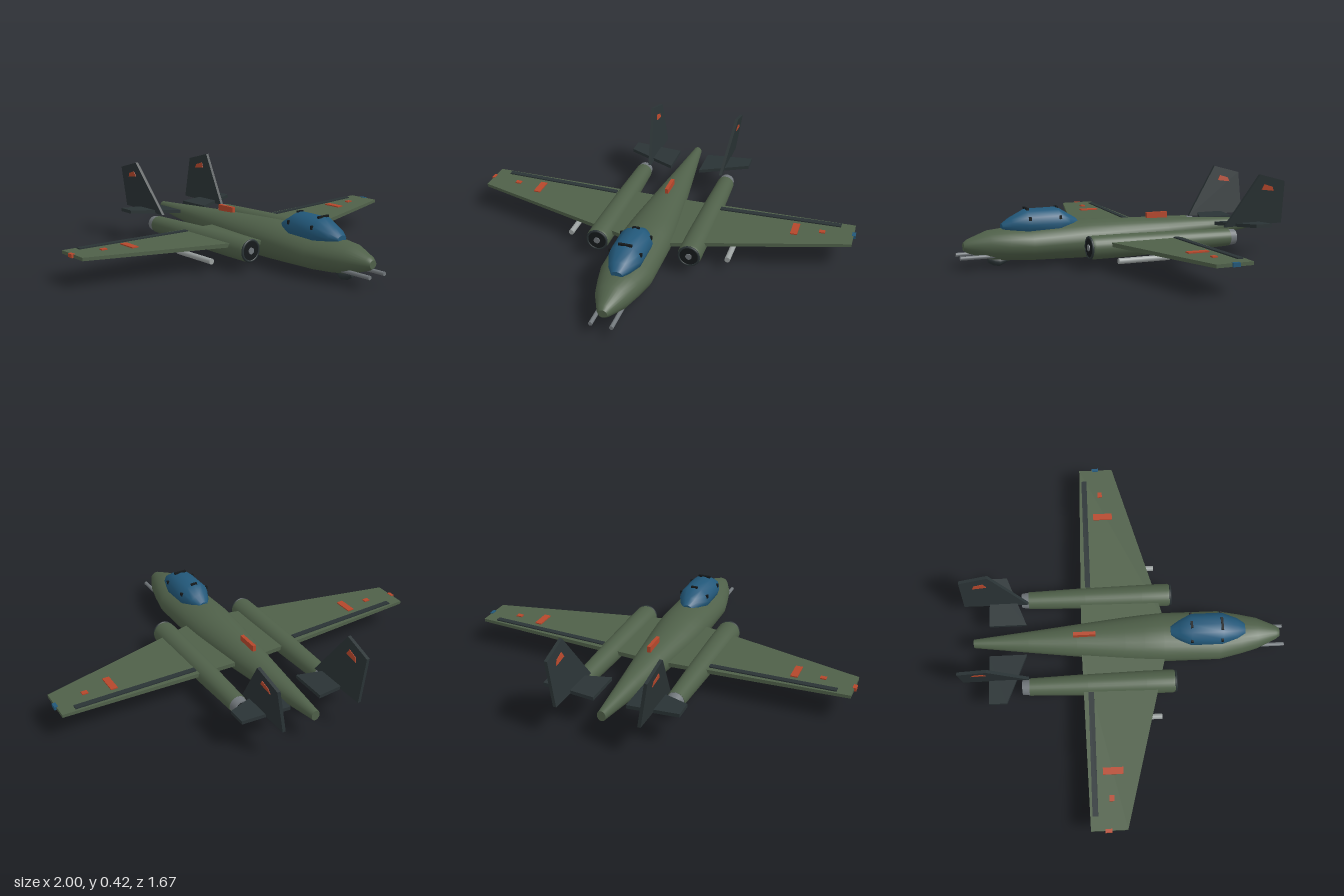
import * as THREE from 'three';

const mat = (name, color) => Object.assign(new THREE.MeshStandardMaterial({ color }), { name });
const lerp = THREE.MathUtils.lerp;

export function createModel() {
  const green = mat('olive green', 0x4f6049);
  const dark = mat('dark slate', 0x2a3335);
  const black = mat('near black', 0x15191b);
  const blue = mat('canopy blue', 0x22587a);
  const red = mat('marking red', 0xb5472b);
  const steel = mat('steel', 0x70767a);
  const silver = mat('light metal', 0x9ba1a0);

  const model = new THREE.Group();
  model.name = 'aircraft';
  const add = (name, geometry, material, x = 0, y = 0, z = 0) => {
    const mesh = new THREE.Mesh(geometry, material);
    mesh.name = name;
    mesh.position.set(x, y, z);
    model.add(mesh);
    return mesh;
  };

  // Smooth body through elliptical sections [z, centreY, radiusX, radiusY], listed front to back
  function loft(sections, n = 28) {
    const pos = [], idx = [];
    const ring = ([z, cy, rx, ry]) => {
      for (let j = 0; j < n; j++) {
        const a = (j / n) * Math.PI * 2;
        pos.push(rx * Math.cos(a), cy + ry * Math.sin(a), z);
      }
    };
    sections.forEach(ring);
    for (let i = 0; i < sections.length - 1; i++) {
      for (let j = 0; j < n; j++) {
        const a = i * n + j, b = i * n + (j + 1) % n;
        idx.push(a, a + n, b, b, a + n, b + n);
      }
    }
    // End caps with their own vertices
    [sections[0], sections[sections.length - 1]].forEach((s, end) => {
      const start = pos.length / 3;
      ring(s);
      pos.push(0, s[1], s[0]);
      for (let j = 0; j < n; j++) {
        const a = start + j, b = start + (j + 1) % n;
        idx.push(start + n, ...(end ? [b, a] : [a, b]));
      }
    });
    const g = new THREE.BufferGeometry();
    g.setAttribute('position', new THREE.Float32BufferAttribute(pos, 3));
    g.setIndex(idx);
    g.computeVertexNormals();
    return g;
  }

  // Reshape a unit box by a rule
  function warp(rule) {
    const g = new THREE.BoxGeometry(1, 1, 1);
    const p = g.attributes.position;
    for (let i = 0; i < p.count; i++) p.setXYZ(i, ...rule(p.getX(i), p.getY(i), p.getZ(i)));
    g.computeVertexNormals();
    return g;
  }

  // Flat surface between two chords {x, y, t, front, back}, on side s
  const wingSlab = (s, a, b) => warp((px, py, pz) => {
    const u = 0.5 + s * px;
    const at = (k) => lerp(a[k], b[k], u);
    return [s * at('x'), at('y') + py * at('t'), lerp(at('back'), at('front'), pz + 0.5)];
  });

  // Leaning upright surface between two levels {y, front, back}, on side s
  const finX = (y) => lerp(0.207, 0.246, (y - 0.155) / 0.265);
  const finSlab = (s, t, a, b) => warp((px, py, pz) => {
    const v = py + 0.5;
    const zf = lerp(a.front, b.front, v), zb = lerp(a.back, b.back, v);
    const y = pz > 0 ? lerp(a.y, b.y, v) : lerp(a.yBack ?? a.y, b.yBack ?? b.y, v);
    return [s * finX(y) + px * t, y, pz > 0 ? zf : zb];
  });

  const rod = (r0, r1, length, n = 20) =>
    new THREE.CylinderGeometry(r0, r1, length, n).rotateX(Math.PI / 2);

  // Fuselage
  add('fuselage', loft([
    [0.81, 0.108, 0.022, 0.02],
    [0.79, 0.109, 0.036, 0.034],
    [0.69, 0.11, 0.082, 0.07],
    [0.6, 0.108, 0.106, 0.08],
    [0.49, 0.106, 0.13, 0.085],
    [0.2, 0.11, 0.13, 0.097],
    [0.1, 0.108, 0.125, 0.096],
    [0, 0.11, 0.115, 0.09],
    [-0.25, 0.115, 0.086, 0.074],
    [-0.5, 0.121, 0.056, 0.054],
    [-0.785, 0.132, 0.022, 0.026],
  ]), green);

  // Canopy and its frame hoops
  add('canopy', loft([
    [0.62, 0.192, 0.028, 0.016],
    [0.58, 0.198, 0.055, 0.038],
    [0.5, 0.205, 0.084, 0.072],
    [0.34, 0.205, 0.084, 0.074],
    [0.28, 0.2, 0.055, 0.042],
    [0.235, 0.195, 0.026, 0.02],
  ], 12), blue);
  [[0.495, 0.034], [0.34, 0.018]].forEach(([z, half]) => {
    add('canopyFrameTop', new THREE.BoxGeometry(half * 2, 0.01, 0.012), black, 0, 0.277, z);
    for (const s of [-1, 1])
      add('canopyFrameSide', new THREE.BoxGeometry(0.014, 0.018, 0.012), black, s * 0.074, 0.235, z);
  });

  // Chin sensor and dorsal antenna
  add('chinSensor', loft([
    [0.69, 0.035, 0.012, 0.014],
    [0.66, 0.028, 0.03, 0.024],
    [0.635, 0.024, 0.032, 0.024],
    [0.59, 0.036, 0.016, 0.014],
  ], 12), dark);
  add('dorsalAntenna', new THREE.BoxGeometry(0.018, 0.032, 0.115), red, 0, 0.204, -0.21);

  const wingTop = (x) => 0.128 + (0.02 * (x - 0.1)) / 0.89;
  // Thin plate lying on the wing's upper face
  const wingPlate = (s, x0, x1, front, back) => {
    const end = (x) => ({ x, y: wingTop(x) + 0.002, t: 0.008, front, back });
    return wingSlab(s, end(x0), end(x1));
  };

  for (const s of [-1, 1]) {
    // Wing, flap, markings and tip light
    add('wing', wingSlab(s,
      { x: 0.08, y: 0.117, t: 0.022, front: 0.213, back: -0.228 },
      { x: 0.99, y: 0.14, t: 0.016, front: -0.03, back: -0.21 }), green);
    add('flap', wingPlate(s, 0.29, 0.92, -0.172, -0.2), dark);
    add('wingStripe', wingPlate(s, 0.683, 0.718, -0.04, -0.142), red);
    add('wingBadge', wingPlate(s, 0.82, 0.85, -0.09, -0.114), red);
    add('tipLight', new THREE.BoxGeometry(0.018, 0.018, 0.034), s > 0 ? blue : red, s * 0.991, 0.141, -0.123);

    // Engine nacelle, intake and exhaust
    add('nacelle', loft([
      [0.25, 0.105, 0.054, 0.052],
      [0.235, 0.105, 0.06, 0.057],
      [0.1, 0.105, 0.06, 0.057],
      [-0.2, 0.105, 0.055, 0.053],
      [-0.5, 0.107, 0.045, 0.044],
    ]), green).position.x = s * 0.24;
    add('intakeFace', rod(0.05, 0.05, 0.006, 28), black, s * 0.24, 0.105, 0.251);
    add('intakeRing', new THREE.TorusGeometry(0.051, 0.006, 8, 28), dark, s * 0.24, 0.105, 0.251);
    add('intakeHub', rod(0.016, 0.016, 0.012), steel, s * 0.24, 0.105, 0.253);
    add('exhaust', rod(0.043, 0.038, 0.038, 28), steel, s * 0.24, 0.107, -0.518);
    add('exhaustFace', rod(0.031, 0.031, 0.004, 28), black, s * 0.24, 0.107, -0.537);

    // Guns in the nose and pods below the wings
    add('noseGun', rod(0.01, 0.01, 0.2, 12), steel, s * 0.05, 0.061, 0.737);
    add('underwingPod', rod(0.014, 0.014, 0.26), silver, s * 0.415, 0.067, 0.042);

    // Tail surfaces
    add('tailplane', wingSlab(s,
      { x: 0.082, y: 0.153, t: 0.018, front: -0.51, back: -0.702 },
      { x: 0.342, y: 0.17, t: 0.018, front: -0.61, back: -0.7 }), dark);
    add('tailFin', finSlab(s, 0.016,
      { y: 0.152, yBack: 0.158, front: -0.5, back: -0.835 },
      { y: 0.422, yBack: 0.382, front: -0.68, back: -0.83 }), dark);
    add('finBadge', finSlab(s, 0.022,
      { y: 0.342, yBack: 0.332, front: -0.695, back: -0.768 },
      { y: 0.37, yBack: 0.355, front: -0.71, back: -0.758 }), red);
  }
  return model;
}
